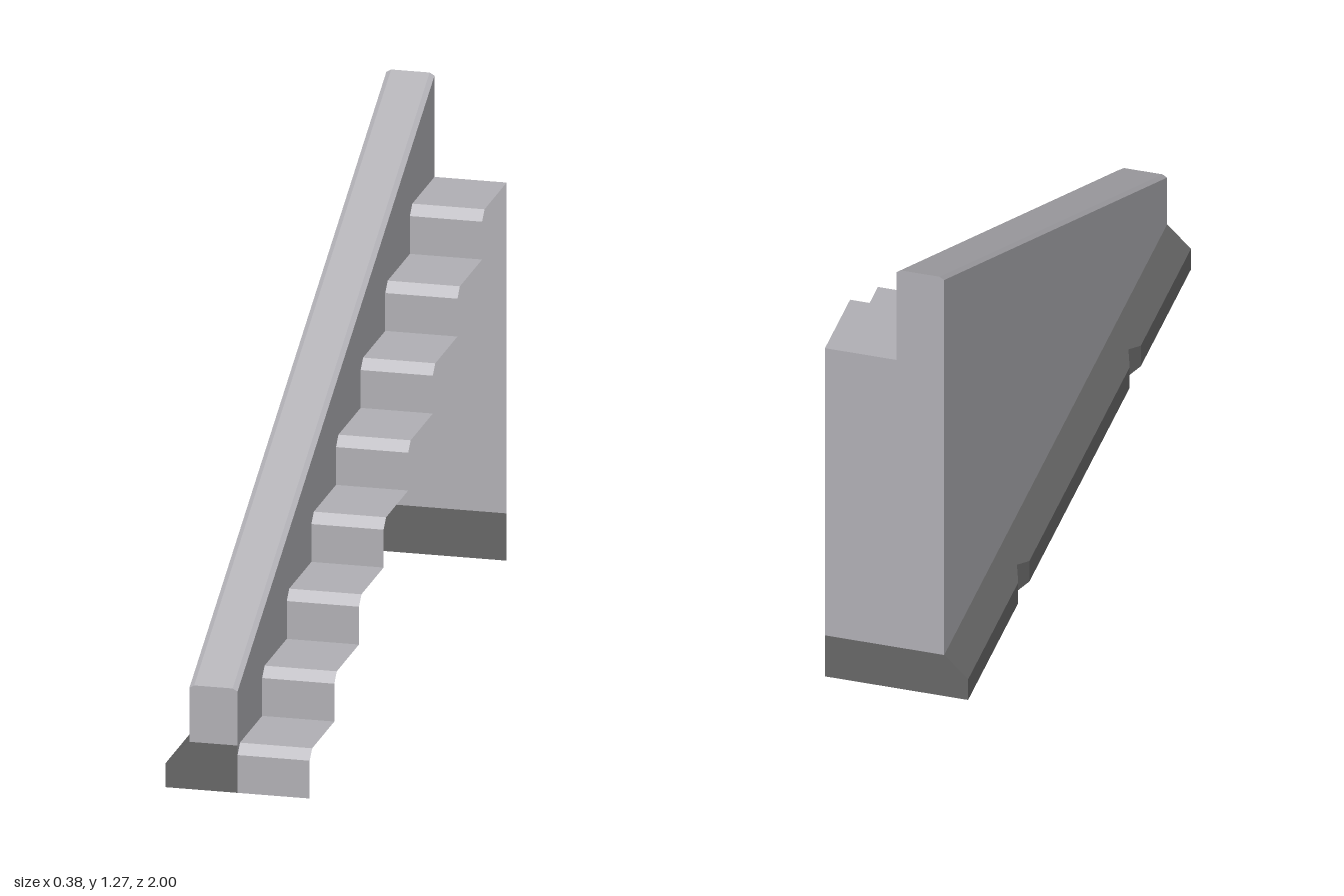
import * as THREE from 'three';

const W = 0.1875;   // half width of the whole flight
const T = 0.125;    // wall thickness, base height and step rise
const RUN = 0.25;   // depth of one step
const STEPS = 8;

const stone = new THREE.MeshStandardMaterial({ color: 0xb0afb4, side: THREE.DoubleSide });
stone.name = 'light stone';
const darkStone = new THREE.MeshStandardMaterial({ color: 0x666666, side: THREE.DoubleSide });
darkStone.name = 'dark stone';

function flatGeometry(points) {
  const geometry = new THREE.BufferGeometry();
  geometry.setAttribute('position', new THREE.Float32BufferAttribute(points.flat(), 3));
  geometry.computeVertexNormals();
  return geometry;
}

// Flat quads between neighbouring rows of points
function skin(rows) {
  const out = [];
  for (let i = 0; i < rows.length - 1; i++) {
    for (let j = 0; j < rows[i].length - 1; j++) {
      const a = rows[i][j], b = rows[i][j + 1], c = rows[i + 1][j + 1], d = rows[i + 1][j];
      out.push(a, b, c, a, c, d);
    }
  }
  return flatGeometry(out);
}

// Convex upright panel at a given z; outline runs counter-clockwise from the front
function panel(outline, z) {
  const pts = (z > 0 ? outline : [...outline].reverse()).map(([x, y]) => [x, y, z]);
  const out = [];
  for (let i = 1; i < pts.length - 1; i++) out.push(pts[0], pts[i], pts[i + 1]);
  return flatGeometry(out);
}

export function createModel() {
  const group = new THREE.Group();
  group.name = 'staircase';
  const add = (name, geometry, material) => {
    const mesh = new THREE.Mesh(geometry, material);
    mesh.name = name;
    group.add(mesh);
  };

  // Steps: one folded sheet of risers, bevelled nosings and treads
  const profile = [[0, 1]];
  for (let i = 0; i < STEPS; i++) {
    const z = 1 - i * RUN, top = (i + 1) * T;
    profile.push([top - 0.025, z], [top, z - 0.025], [top, z - RUN]);
  }
  add('steps', skin([W, 0].map((x) => profile.map(([y, z]) => [x, y, z]))), stone);

  // Sloping side wall with bevelled coping; its inner face stops at the stair line
  const coping = (h) => [[-T, h - 0.0075], [-T + 0.0125, h], [-0.0125, h], [0, h - 0.0075]];
  const wallRow = (h, low, z) =>
    [[-T, T], ...coping(h), [0, low]].map(([x, y]) => [x, y, z]);
  add('sideWall', skin([wallRow(0.275, 0, 1), wallRow(1.275, 1, -1)]), stone);
  add('wallFront', panel([[-T, T], [0, T], ...coping(0.275).reverse()], 1), stone);

  // Back panels
  add('wallBack', panel([[-T, 1], [0, 1], ...coping(1.275).reverse()], -1), stone);
  add('stairBack', panel([[-T, T], [W, T], [W, 1], [-T, 1]], -1), stone);

  // Chamfered plinth with two V notches along the outer side
  const stations = [-1, -0.55, -0.5, -0.45, 0.45, 0.5, 0.55, 1];
  add('plinthSide', skin(stations.map((z) => {
    const d = Math.abs(z) === 0.5 ? 0.018 : 0;
    return [[-T, T, z], [-W + d, 0.0625 + d, z], [-W + d, 0, z]];
  })), darkStone);
  const plinthEnd = (right) => [[-W, 0], [right, 0], [right, T], [-T, T], [-W, 0.0625]];
  add('plinthFront', panel(plinthEnd(0), 1), darkStone);
  add('plinthBack', panel(plinthEnd(W), -1), darkStone);

  return group;
}
